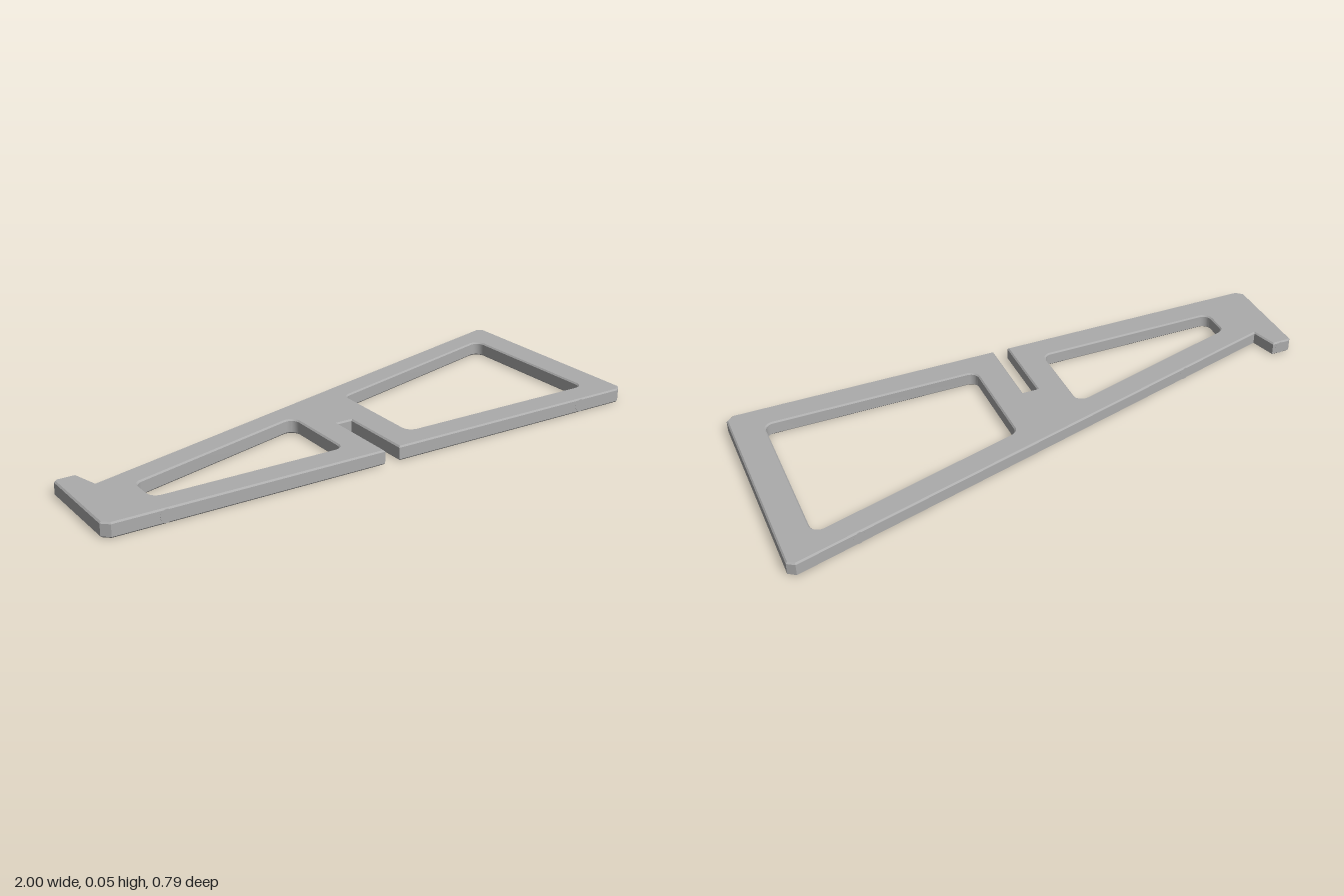
import * as THREE from 'three';
import { toCreasedNormals } from 'three/addons/utils/BufferGeometryUtils.js';

const T = 0.05, C = 0.005; // plate thickness, chamfer

// points are [x, z] on the plan; shape y is -z
const toVec = ([x, z]) => new THREE.Vector2(x, -z);

// polygon with rounded corners
function roundedPath(points, r) {
  const p = points.map(toVec), path = new THREE.Path();
  p.forEach((c, i) => {
    const prev = p[(i + p.length - 1) % p.length], next = p[(i + 1) % p.length];
    const a = prev.clone().sub(c).normalize(), b = next.clone().sub(c).normalize();
    const half = Math.acos(a.dot(b)) / 2, d = r / Math.tan(half);
    const s = c.clone().addScaledVector(a, d), e = c.clone().addScaledVector(b, d);
    const o = c.clone().addScaledVector(a.clone().add(b).normalize(), r / Math.sin(half));
    if (i === 0) path.moveTo(s.x, s.y); else path.lineTo(s.x, s.y);
    const a0 = Math.atan2(s.y - o.y, s.x - o.x);
    let sweep = Math.atan2(e.y - o.y, e.x - o.x) - a0;
    sweep = Math.atan2(Math.sin(sweep), Math.cos(sweep));
    for (let k = 1; k <= 6; k++) {
      const t = a0 + sweep * k / 6;
      path.lineTo(o.x + r * Math.cos(t), o.y + r * Math.sin(t));
    }
  });
  path.closePath();
  return path;
}

export function createModel() {
  const group = new THREE.Group();
  const grey = new THREE.MeshStandardMaterial({ color: 0xacacac });
  grey.name = 'grey';

  // wedge outline with front slot and hooked lip
  const shape = new THREE.Shape([
    [-1, 0.375], [-0.975, 0.397], [-0.03, 0.397], [-0.03, 0.125], [0.025, 0.125],
    [0.025, 0.397], [0.975, 0.397], [1, 0.375], [1, -0.38], [0.975, -0.397],
    [-0.9, 0.125], [-0.925, 0.035], [-0.99, 0.035], [-1, 0.045],
  ].map(toVec));
  // two windows
  shape.holes.push(
    roundedPath([[-0.8, 0.19], [-0.8, 0.303], [-0.13, 0.303], [-0.13, 0.001]], 0.03),
    roundedPath([[0.13, -0.07], [0.13, 0.303], [0.89, 0.303], [0.89, -0.284]], 0.03),
  );
  const geo = new THREE.ExtrudeGeometry(shape, {
    depth: T - 2 * C, bevelEnabled: true, bevelThickness: C,
    bevelSize: C, bevelOffset: -C, bevelSegments: 1,
  });
  geo.rotateX(-Math.PI / 2).translate(0, C, 0);
  const plate = new THREE.Mesh(toCreasedNormals(geo, 0.45), grey);
  plate.name = 'sidePlate';
  group.add(plate);

  // round plugs set flush in the edges: x, z, outward direction
  const slope = Math.atan2(0.522, 1.875);
  const edgeZ = x => 0.125 - (x + 0.9) * 0.522 / 1.875;
  const back = [-Math.sin(slope), -Math.cos(slope)];
  const plugs = [
    [-0.8, 0.397, [0, 1]], [0.8, 0.397, [0, 1]],
    [-0.56, edgeZ(-0.56), back], [0.76, edgeZ(0.76), back],
    [-0.957, 0.035, [0, -1]],
  ];
  for (const [x, z, [nx, nz]] of plugs) {
    const plug = new THREE.Mesh(new THREE.CylinderGeometry(0.022, 0.022, 0.012, 24), grey);
    plug.name = 'edgePlug';
    const n = new THREE.Vector3(nx, 0, nz);
    plug.quaternion.setFromUnitVectors(new THREE.Vector3(0, 1, 0), n);
    plug.position.set(x, T / 2, z).addScaledVector(n, -0.0055);
    group.add(plug);
  }
  return group;
}
